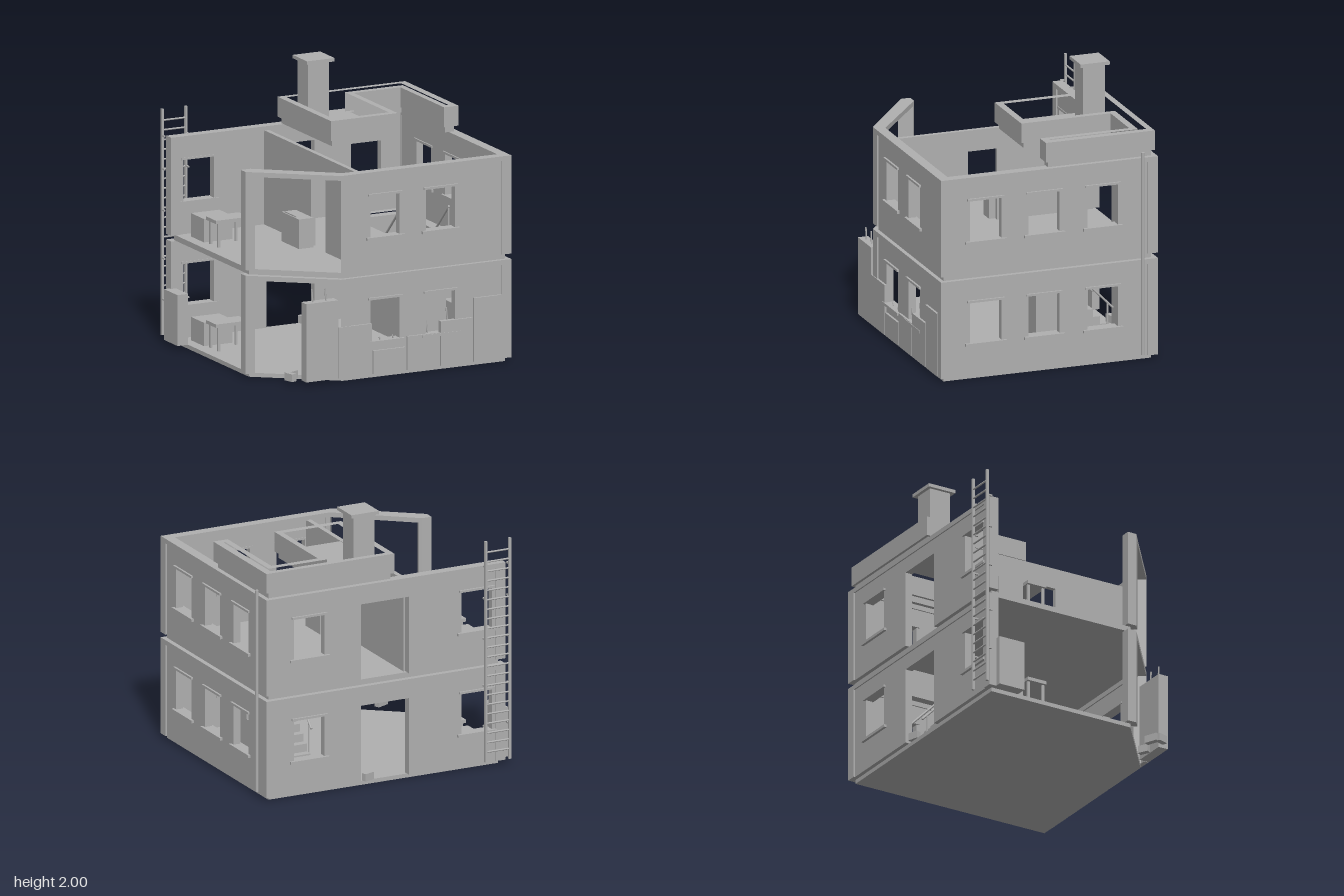
import * as THREE from 'three';

const stone = new THREE.MeshStandardMaterial({ color: 0xb0b0b0 });
stone.name = 'plain grey';

function add(parent, name, geo) {
  const m = new THREE.Mesh(geo, stone);
  m.name = name;
  parent.add(m);
  return m;
}

// box given by its min and max on each axis
function box(parent, name, x0, x1, y0, y1, z0, z1) {
  const m = add(parent, name, new THREE.BoxGeometry(x1 - x0, y1 - y0, z1 - z0));
  m.position.set((x0 + x1) / 2, (y0 + y1) / 2, (z0 + z1) / 2);
  return m;
}

// horizontal slab from a plan outline of [x, z] points
function slab(parent, name, plan, y0, y1, holes = []) {
  const pts = (p) => p.map(([x, z]) => new THREE.Vector2(x, -z));
  const shape = new THREE.Shape(pts(plan));
  holes.forEach((h) => shape.holes.push(new THREE.Path(pts(h))));
  const geo = new THREE.ExtrudeGeometry(shape, { depth: y1 - y0, bevelEnabled: false });
  geo.rotateX(-Math.PI / 2);
  geo.translate(0, y0, 0);
  return add(parent, name, geo);
}

// upright wall from u = a to b, with window holes and an optional doorway
function wallGeo(a, b, height, depth, windows, door) {
  const s = new THREE.Shape();
  s.moveTo(a, 0);
  if (door) {
    s.lineTo(door[0], 0);
    s.lineTo(door[0], door[2]);
    s.lineTo(door[1], door[2]);
    s.lineTo(door[1], 0);
  }
  s.lineTo(b, 0);
  s.lineTo(b, height);
  s.lineTo(a, height);
  s.closePath();
  windows.forEach(([l, r]) => s.holes.push(new THREE.Path([
    new THREE.Vector2(l, SILL), new THREE.Vector2(r, SILL),
    new THREE.Vector2(r, HEAD), new THREE.Vector2(l, HEAD)])));
  return new THREE.ExtrudeGeometry(s, { depth, bevelEnabled: false });
}

// round bar between two points
function bar(parent, name, p, q, r) {
  const a = new THREE.Vector3(...p), b = new THREE.Vector3(...q);
  const m = add(parent, name, new THREE.CylinderGeometry(r, r, a.distanceTo(b), 8));
  m.position.copy(a).add(b).multiplyScalar(0.5);
  m.quaternion.setFromUnitVectors(new THREE.Vector3(0, 1, 0), b.sub(a).normalize());
}

const SILL = 0.24, HEAD = 0.54, WALL = 0.68, TOP = 0.715;
const FRONT = [[-0.16, 0.07], [0.28, 0.51]];
const BACK = [[-0.84, -0.6], [0.49, 0.73]];
const RIGHT = [[-0.61, -0.37], [-0.165, 0.07], [0.28, 0.51]]; // measured along -z
const floorPlan = [[-0.905, -0.77], [0.92, -0.77], [0.92, 0.8], [-0.37, 0.8], [-0.905, 0.385]];
const beamPlan = [[-0.945, -0.81], [0.955, -0.81], [0.955, 0.83], [-0.4, 0.83], [-0.945, 0.41],
  [-0.945, 0.34], [-0.87, 0.34], [-0.35, 0.755], [0.88, 0.755], [0.88, -0.735], [-0.945, -0.735]];

function table(parent, y) {
  const g = new THREE.Group();
  g.name = 'table';
  box(g, 'tableTop', -0.83, -0.57, y + 0.175, y + 0.2, -0.42, -0.265);
  for (const x of [-0.81, -0.61]) for (const z of [-0.41, -0.29])
    box(g, 'tableLeg', x, x + 0.018, y, y + 0.175, z, z + 0.018);
  parent.add(g);
}

// one storey: recessed walls inside a frame of pillars and a top beam
function storey(name, y) {
  const g = new THREE.Group();
  g.name = name;
  add(g, 'frontWall', wallGeo(-0.34, 0.9, WALL, 0.055, FRONT)).position.z = 0.765;
  add(g, 'backWall', wallGeo(-0.89, 0.9, WALL, 0.055, BACK, [-0.18, 0.2, 0.57])).position.z = -0.8;
  const side = add(g, 'sideWall', wallGeo(-0.77, 0.75, WALL, 0.055, RIGHT));
  side.rotation.y = Math.PI / 2;
  side.position.x = 0.89;
  slab(g, 'topBeam', beamPlan, WALL, TOP);

  // corner pillars
  box(g, 'cornerPillar', 0.88, 0.955, 0, WALL, 0.755, 0.83);
  box(g, 'cornerPillar', 0.88, 0.955, 0, WALL, -0.81, -0.735);
  box(g, 'endPillar', -0.945, -0.87, 0, WALL, -0.81, -0.735);
  slab(g, 'angledPillar', [[-0.945, 0.34], [-0.87, 0.34], [-0.85, 0.356], [-0.89, 0.452], [-0.945, 0.41]], 0, WALL);
  slab(g, 'angledPillar', [[-0.4, 0.83], [-0.32, 0.83], [-0.32, 0.755], [-0.35, 0.755]], 0, WALL);

  // sills and lintels
  for (const [list, z0, z1] of [[FRONT, 0.755, 0.84], [BACK, -0.82, -0.735]])
    for (const [l, r] of list) {
      box(g, 'windowSill', l - 0.035, r + 0.035, SILL - 0.02, SILL, z0, z1);
      box(g, 'windowLintel', l - 0.02, r + 0.02, HEAD, HEAD + 0.016, z0 + 0.005, z1 - 0.005);
    }
  for (const [l, r] of RIGHT) {
    box(g, 'windowSill', 0.875, 0.965, SILL - 0.02, SILL, -r - 0.035, -l + 0.035);
    box(g, 'windowLintel', 0.88, 0.96, HEAD, HEAD + 0.016, -r - 0.02, -l + 0.02);
  }
  table(g, 0);
  box(g, 'lowChest', -0.825, -0.6, 0, 0.17, -0.66, -0.46);
  g.position.y = y;
  return g;
}

export function createModel() {
  const root = new THREE.Group();
  root.name = 'ruinedHouse';

  // floors, the upper one with a stairwell
  slab(root, 'groundFloor', floorPlan, 0, 0.03);
  slab(root, 'upperFloor', floorPlan, 0.745, 0.785,
    [[[0.44, -0.69], [0.86, -0.69], [0.86, 0.06], [0.44, 0.06]]]);
  root.add(storey('groundStorey', 0.03), storey('upperStorey', 0.785));

  // upstairs partition and furniture
  const part = add(root, 'partitionWall', wallGeo(-0.765, 0.745, 0.685, 0.035, [], [-0.2, 0.02, 0.53]));
  part.rotation.y = Math.PI / 2;
  part.position.set(-0.2, 0.785, 0);
  box(root, 'cupboard', -0.165, -0.02, 0.785, 1.14, 0.26, 0.485);
  box(root, 'cabinet', -0.32, -0.205, 0.785, 1.0, -0.245, 0.025);
  box(root, 'cabinetHandle', -0.31, -0.304, 1.0, 1.008, -0.22, -0.04);

  // staircase rising towards the front, with handrails
  const stairs = new THREE.Group();
  stairs.name = 'staircase';
  const steps = 13, run = 0.7 / steps, rise = 0.755 / steps;
  for (let i = 0; i < steps; i++)
    box(stairs, 'step', 0.46, 0.83, 0.03, 0.03 + rise * (i + 1), -0.635 + run * i, -0.635 + run * (i + 1));
  for (const x of [0.445, 0.845]) {
    bar(stairs, 'handrail', [x, 0.38, -0.51], [x, 0.98, 0.08], 0.008);
    for (const [z, y0, y1] of [[-0.47, 0.03, 0.42], [0.075, 0.74, 0.975]])
      bar(stairs, 'railPost', [x, y0, z], [x, y1, z], 0.007);
  }
  root.add(stairs);

  // roof deck with a parapet that wraps around the stair opening
  const roof = new THREE.Group();
  roof.name = 'roof';
  slab(roof, 'roofDeck', [[-0.05, -0.77], [0.92, -0.77], [0.92, 0.01], [0.85, 0.01], [0.85, -0.66],
    [0.44, -0.66], [0.44, 0.01], [-0.05, 0.01]], 1.5, 1.55);
  slab(roof, 'parapet', [[-0.07, -0.79], [0.945, -0.79], [0.945, 0.035], [0.83, 0.035], [0.83, -0.64],
    [0.46, -0.64], [0.46, 0.035], [-0.07, 0.035]], 1.545, 1.69,
  [[[-0.02, -0.745], [0.89, -0.745], [0.89, -0.015], [0.875, -0.015], [0.875, -0.69],
    [0.415, -0.69], [0.415, -0.015], [-0.02, -0.015]]]);
  box(roof, 'chimney', 0.04, 0.205, 1.55, 1.975, -0.695, -0.53);
  box(roof, 'chimneyCap', 0.015, 0.235, 1.975, 2, -0.72, -0.5);
  root.add(roof);

  // ladder on the back wall
  const ladder = new THREE.Group();
  ladder.name = 'ladder';
  for (const x of [-0.96, -0.772]) {
    box(ladder, 'ladderRail', x - 0.009, x + 0.009, 0.045, 1.69, -0.85, -0.832);
    for (const y of [0.3, 0.6, 0.95, 1.25, 1.49])
      box(ladder, 'ladderBracket', x - 0.006, x + 0.006, y, y + 0.012, -0.84, -0.8);
  }
  for (let y = 0.12; y < 1.63; y += 0.0708)
    bar(ladder, 'rung', [-0.96, y, -0.841], [-0.772, y, -0.841], 0.007);
  root.add(ladder);

  // drainpipe
  bar(root, 'drainpipe', [0.97, 0.045, -0.69], [0.97, 1.545, -0.69], 0.013);

  // patchwork of panels along the foot of the front
  for (const [x0, x1, y] of [[-0.42, -0.157, 0.4], [-0.145, 0.11, 0.2], [0.125, 0.385, 0.275],
    [0.392, 0.648, 0.355], [0.655, 0.882, 0.495]])
    box(root, 'frontPanel', x0, x1, 0.03, y, 0.8, 0.836);
  box(root, 'frontPanel', -0.68, -0.425, 0.03, 0.6, 0.76, 0.836);
  for (const [x, y, h] of [[-0.61, 0.6, 0.09], [-0.505, 0.6, 0.09], [-0.075, 0.27, 0.02],
    [0.03, 0.27, 0.02], [0.3, 0.275, 0.09], [0.46, 0.355, 0.09]])
    bar(root, 'bentRod', [x, y, 0.8], [x - 0.008, y + h, 0.8], 0.006);

  // outside crate and loose bricks
  box(root, 'crate', -0.99, -0.905, 0.03, 0.4, -0.755, -0.55);
  for (const [x, z, turn, w] of [[-0.72, 0.68, 0.4, 0.1], [-0.755, 0.735, 1.85, 0.08],
    [-0.54, 0.725, 0.5, 0.08], [0.13, -0.77, 0.3, 0.08]]) {
    const b = box(root, 'looseBrick', x - w / 2, x + w / 2, 0.03, 0.085, z - 0.02, z + 0.02);
    b.rotation.y = turn;
  }
  return root;
}
